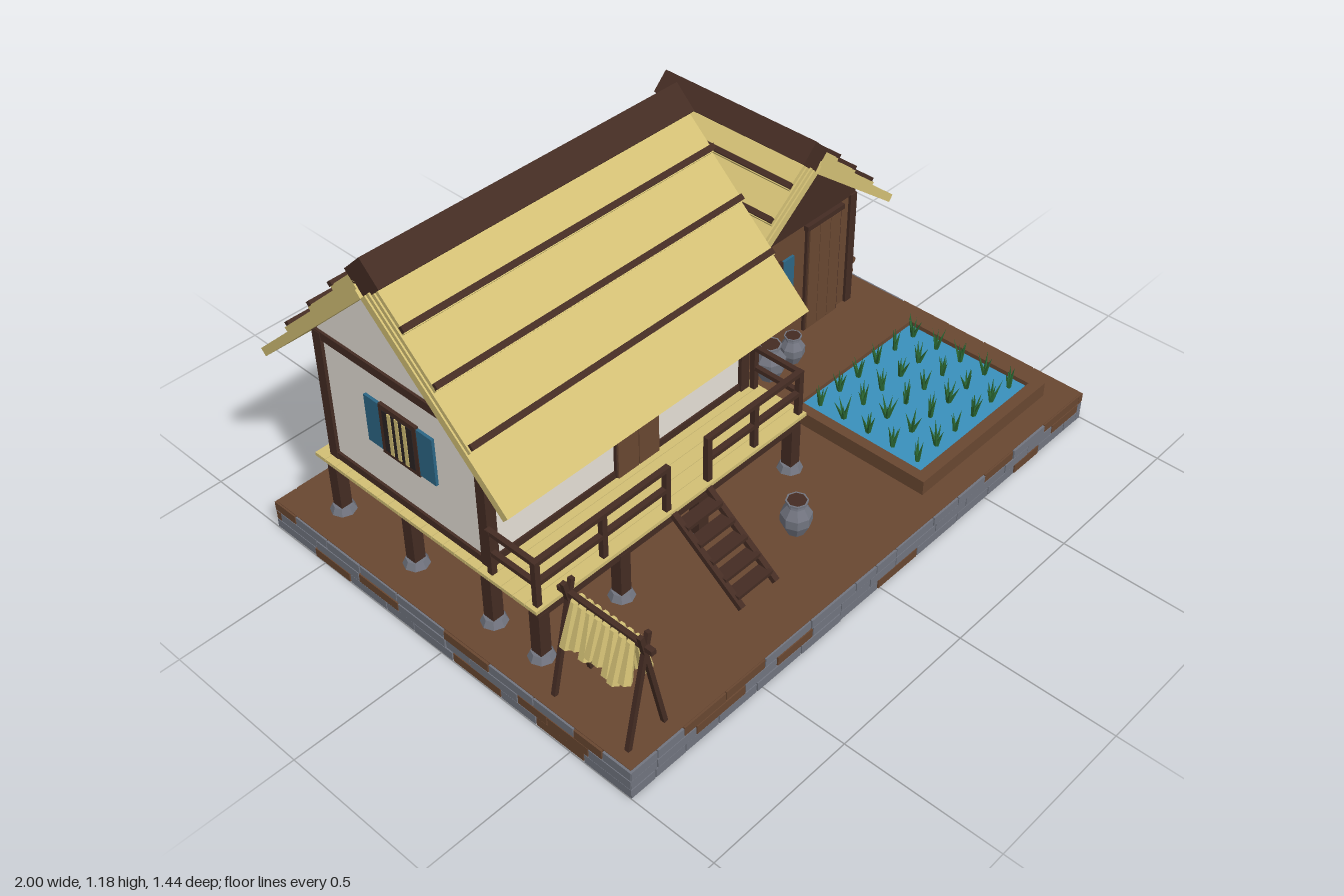
import * as THREE from 'three';

const mat = (name, color) => Object.assign(new THREE.MeshStandardMaterial({ color }), { name });
const M = {
  straw: mat('thatch straw', 0xd2bf74),
  dark: mat('dark timber', 0x442c23),
  wood: mat('earth and brown timber', 0x694731),
  plaster: mat('white plaster', 0xe5dfd6),
  black: mat('near black', 0x2a2323),
  stone: mat('grey stone', 0x71747f),
  blue: mat('shutter blue', 0x2c6685),
  water: mat('water', 0x3a90bc),
  green: mat('leaf green', 0x2a6632),
};

let seed = 7;
const rnd = () => (seed = (seed * 16807) % 2147483647) / 2147483647;

function group(parent, name, x = 0, y = 0, z = 0, ry = 0) {
  const g = new THREE.Group();
  g.name = name;
  g.position.set(x, y, z);
  g.rotation.y = ry;
  parent.add(g);
  return g;
}
function mesh(parent, name, geo, m, x = 0, y = 0, z = 0) {
  const o = new THREE.Mesh(geo, m);
  o.name = name;
  o.position.set(x, y, z);
  parent.add(o);
  return o;
}
const box = (p, name, m, w, h, d, x, y, z) => mesh(p, name, new THREE.BoxGeometry(w, h, d), m, x, y, z);
// faceted normals
function flat(geo) {
  const g = geo.toNonIndexed();
  g.computeVertexNormals();
  return g;
}
const cyl = (r1, r2, h, n) => flat(new THREE.CylinderGeometry(r1, r2, h, n));
// beam running between two points
function strut(p, name, m, a, b, t) {
  const A = new THREE.Vector3(...a), B = new THREE.Vector3(...b), d = B.clone().sub(A);
  const o = mesh(p, name, new THREE.BoxGeometry(t, d.length(), t), m);
  o.position.copy(A).add(B).multiplyScalar(0.5);
  o.quaternion.setFromUnitVectors(new THREE.Vector3(0, 1, 0), d.normalize());
}
// upright prism with its outline in x-y, centred along z
function prism(p, name, m, pts, depth) {
  const geo = new THREE.ExtrudeGeometry(new THREE.Shape(pts.map(q => new THREE.Vector2(...q))), { depth, bevelEnabled: false });
  return mesh(p, name, geo.translate(0, 0, -depth / 2), m);
}

// thatched gable roof, ridge along local x
function roof(p, name, len, run, angle, apex, cap, x, z, ry) {
  const g = group(p, name, x, apex, z, ry), L = run / Math.cos(angle);
  for (const side of [0, Math.PI]) {
    const slope = group(group(g, 'roofSide', 0, 0, 0, side), 'slope');
    slope.rotation.x = angle;
    box(slope, 'thatch', M.straw, len, 0.026, L, 0, 0.013, L / 2);
    [0.715, 0.45, 0.205].forEach((f, i) => {
      const l = L * f, y = 0.026 + i * 0.014;
      box(slope, 'thatchTier', M.straw, len - 0.01 * (i + 1), 0.014, l, 0, y + 0.007, l / 2);
      box(slope, 'batten', M.dark, len - 0.02, 0.014, 0.018, 0, y + 0.019, l - 0.012);
    });
  }
  const ridge = box(g, 'ridgeCap', M.dark, len - 0.02, cap, cap, 0, 0.055, 0);
  ridge.rotation.x = Math.PI / 4;
}

// barred window with open shutters, facing local +z
function barredWindow(p, x, y, z, ry, w, h, sw) {
  const g = group(p, 'window', x, y, z, ry);
  box(g, 'windowFrame', M.dark, w, h, 0.022, 0, 0, 0);
  box(g, 'windowOpening', M.black, w - 0.03, h - 0.03, 0.026, 0, 0, 0);
  for (const i of [-1, 0, 1]) box(g, 'windowBar', M.straw, 0.014, h - 0.03, 0.03, i * w * 0.2, 0, 0);
  for (const s of [-1, 1]) box(g, 'shutter', M.blue, sw, h - 0.012, 0.018, s * (w + sw) / 2, 0, 0);
}

function base(root) {
  const g = group(root, 'base');
  box(g, 'foundation', M.wood, 1.985, 0.096, 1.425, 0, 0.052, 0);
  // three brick courses along each side
  for (const [len, off, ry] of [[2, 0.72, 0], [2, 0.72, Math.PI], [1.44, 1, Math.PI / 2], [1.44, 1, -Math.PI / 2]]) {
    const wall = group(g, 'brickSide', 0, 0, 0, ry);
    for (let row = 0; row < 3; row++) {
      let x = -len / 2;
      while (x < len / 2 - 0.01) {
        let w = 0.09 + rnd() * 0.11;
        if (len / 2 - x - w < 0.07) w = len / 2 - x;
        const m = rnd() < 0.2 ? M.wood : M.stone;
        box(wall, 'brick', m, w - 0.004, 0.03, 0.02, x + w / 2, 0.0165 + row * 0.0333, off - 0.01 - rnd() * 0.003);
        x += w;
      }
    }
  }
}

function mainHouse(root) {
  const g = group(root, 'mainHouse', -0.378, 0, -0.23);
  const H = Math.PI / 2;
  const wall = prism(g, 'plasterWalls', M.plaster,
    [[-0.32, 0.3], [0.32, 0.3], [0.32, 0.762], [0, 1.06], [-0.32, 0.762]], 1.0);
  wall.rotation.y = H;
  // timber frame
  for (const sx of [-1, 1]) {
    for (const sz of [-1, 1]) box(g, 'cornerPost', M.dark, 0.034, 0.45, 0.034, sx * 0.493, 0.53, sz * 0.316);
    for (const y of [0.317, 0.745]) box(g, 'sideBeam', M.dark, 0.026, 0.028, 0.65, sx * 0.495, y, 0);
  }
  for (const sz of [-1, 1]) for (const y of [0.317, 0.735])
    box(g, 'longBeam', M.dark, 1.0, 0.028, 0.02, 0, y, sz * 0.316);
  roof(g, 'mainRoof', 1.145, 0.477, 0.749, 1.06, 0.093, 0, 0, 0);

  // double door
  box(g, 'doorFrame', M.dark, 0.17, 0.36, 0.02, 0.048, 0.49, 0.32);
  for (const s of [-1, 1]) box(g, 'doorLeaf', M.wood, 0.079, 0.35, 0.03, 0.048 + s * 0.041, 0.483, 0.32);
  for (const x of [-0.308, 0.37]) barredWindow(g, x, 0.558, 0.32, 0, 0.15, 0.172, 0.062);
  for (const x of [-0.275, 0.275]) barredWindow(g, x, 0.558, -0.32, Math.PI, 0.15, 0.172, 0.062);
  for (const s of [-1, 1]) barredWindow(g, s * 0.5, 0.558, 0, s * H, 0.15, 0.172, 0.062);

  // bamboo deck on beams and stilts
  const deck = group(root, 'deck');
  for (let i = 0; i < 20; i++) box(deck, 'deckSlat', M.straw, 1.07, 0.012, 0.0435, -0.378, 0.301, -0.578 + i * 0.0452);
  for (const z of [0.275, 0.09, -0.23, -0.55]) {
    box(deck, 'floorBeam', M.dark, 1.04, 0.038, 0.035, -0.378, 0.276, z);
    for (const x of [-0.88, -0.58, -0.27, 0.125]) {
      box(deck, 'stilt', M.dark, 0.038, 0.17, 0.038, x, 0.185, z);
      mesh(deck, 'stiltStone', cyl(0.03, 0.04, 0.022, 8), M.stone, x, 0.111, z);
    }
  }
  // veranda railing
  const rail = group(root, 'railing');
  const post = (x, z) => box(rail, 'railPost', M.dark, 0.018, 0.155, 0.018, x, 0.385, z);
  for (const [a, b] of [[-0.892, -0.41], [-0.245, 0.14]]) {
    for (const x of [a, (a + b) / 2, b]) post(x, 0.285);
    for (const y of [0.385, 0.457]) box(rail, 'frontRail', M.dark, b - a + 0.018, 0.014, 0.018, (a + b) / 2, y, 0.285);
  }
  for (const x of [-0.892, 0.14]) {
    post(x, 0.115);
    for (const y of [0.385, 0.457]) box(rail, 'sideRail', M.dark, 0.016, 0.014, 0.18, x, y, 0.2);
  }
  // ladder
  const ladder = group(root, 'ladder', -0.33);
  for (const s of [-1, 1]) strut(ladder, 'ladderRail', M.dark, [s * 0.07, 0.295, 0.3], [s * 0.07, 0.108, 0.555], 0.018);
  for (let i = 0; i < 5; i++)
    box(ladder, 'ladderTread', M.dark, 0.14, 0.012, 0.045, 0, 0.27 - i * 0.034, 0.334 + i * 0.0464);
}

function shed(root) {
  const g = group(root, 'smallHouse', 0.595, 0, -0.36);
  box(g, 'walls', M.wood, 0.57, 0.43, 0.47, 0, 0.315, 0);
  prism(g, 'gables', M.dark, [[-0.29, 0.515], [0.29, 0.515], [0.29, 0.537], [0, 0.76], [-0.29, 0.537]], 0.478);
  for (const sx of [-1, 1]) {
    for (const sz of [-1, 1]) box(g, 'cornerPost', M.dark, 0.03, 0.42, 0.03, sx * 0.278, 0.31, sz * 0.23);
    box(g, 'sideSill', M.dark, 0.012, 0.02, 0.47, sx * 0.281, 0.11, 0);
  }
  roof(g, 'smallRoof', 0.63, 0.37, 0.656, 0.76, 0.078, 0, 0, Math.PI / 2);
  barredWindow(g, -0.133, 0.353, 0.235, 0, 0.145, 0.165, 0.055);
  barredWindow(g, 0.281, 0.353, 0, Math.PI / 2, 0.14, 0.165, 0.055);
  // plank door
  box(g, 'doorFrame', M.dark, 0.165, 0.4, 0.02, 0.135, 0.3, 0.235);
  box(g, 'doorLintel', M.dark, 0.178, 0.018, 0.03, 0.135, 0.503, 0.237);
  for (const i of [-1, 0, 1]) box(g, 'doorPlank', M.wood, 0.048, 0.385, 0.028, 0.135 + i * 0.05, 0.298, 0.236);
  // stacked firewood
  const pile = group(root, 'woodpile');
  for (let r = 0; r < 4; r++) for (let c = 0; c < (r % 2 ? 3 : 4); c++) {
    const geo = cyl(0.0135, 0.0135, 0.34 + rnd() * 0.015, 7).rotateX(Math.PI / 2);
    mesh(pile, 'log', geo, [M.dark, M.wood, M.wood], 0.908 + c * 0.026 + (r % 2) * 0.013, 0.114 + r * 0.025, -0.365);
  }
}

function paddy(root) {
  const g = group(root, 'plantBed', 0.6, 0, 0.37);
  for (const s of [-1, 1]) {
    box(g, 'bedSide', M.wood, 0.035, 0.05, 0.53, s * 0.2875, 0.125, 0);
    box(g, 'bedEnd', M.wood, 0.54, 0.05, 0.037, 0, 0.125, s * 0.2465);
  }
  box(g, 'water', M.water, 0.54, 0.035, 0.456, 0, 0.1175, 0);
  for (let i = 0; i < 6; i++) for (let j = 0; j < 5; j++) {
    const t = group(g, 'seedling', -0.228 + i * 0.0915, 0.133, -0.185 + j * 0.0925, rnd() * 6);
    for (let k = 0; k < 5; k++) {
      const h = 0.066 + rnd() * 0.02;
      const blade = mesh(t, 'leafBlade', flat(new THREE.ConeGeometry(0.0075, h, 4).translate(0, h / 2, 0)), M.green);
      blade.rotation.set(0, k * 1.257 + rnd() * 0.5, 0.12 + rnd() * 0.33, 'YXZ');
    }
  }
}

function jar(root, x, z, s) {
  const g = group(root, 'jar', x, 0.1, z);
  const pts = [[0, 0], [0.028, 0], [0.047, 0.04], [0.047, 0.07], [0.028, 0.098], [0.026, 0.106], [0.034, 0.112], [0.034, 0.118], [0.029, 0.118]];
  mesh(g, 'jarBody', flat(new THREE.LatheGeometry(pts.map(p => new THREE.Vector2(...p)), 8)), M.stone);
  mesh(g, 'jarMouth', cyl(0.029, 0.024, 0.01, 8), M.dark, 0, 0.1125, 0);
  g.scale.setScalar(s);
}

function dryingRack(root) {
  const g = group(root, 'dryingRack', -0.885, 0, 0.53);
  for (const sz of [-1, 1]) for (const s of [-1, 1])
    strut(g, 'rackLeg', M.dark, [s * 0.066, 0.1, sz * 0.133], [-s * 0.014, 0.47, sz * 0.133], 0.014);
  box(g, 'rackBar', M.dark, 0.016, 0.016, 0.33, 0, 0.428, 0);
  // straw bundles hung over the bar
  for (let i = 0; i < 8; i++) for (const s of [-1, 1]) {
    const h = 0.125 + rnd() * 0.025;
    const b = mesh(g, 'strawBundle', cyl(0.012, 0.02, h, 6).translate(0, -h / 2, 0), M.straw, s * 0.01, 0.428, -0.098 + i * 0.028);
    b.rotation.z = s * 0.22;
    b.rotation.x = (rnd() - 0.5) * 0.1;
  }
}

export function createModel() {
  const root = new THREE.Group();
  root.name = 'farmstead';
  base(root);
  mainHouse(root);
  shed(root);
  paddy(root);
  jar(root, -0.065, 0.46, 1);
  jar(root, 0.4, -0.045, 1.1);
  jar(root, 0.51, -0.045, 0.85);
  dryingRack(root);
  return root;
}
